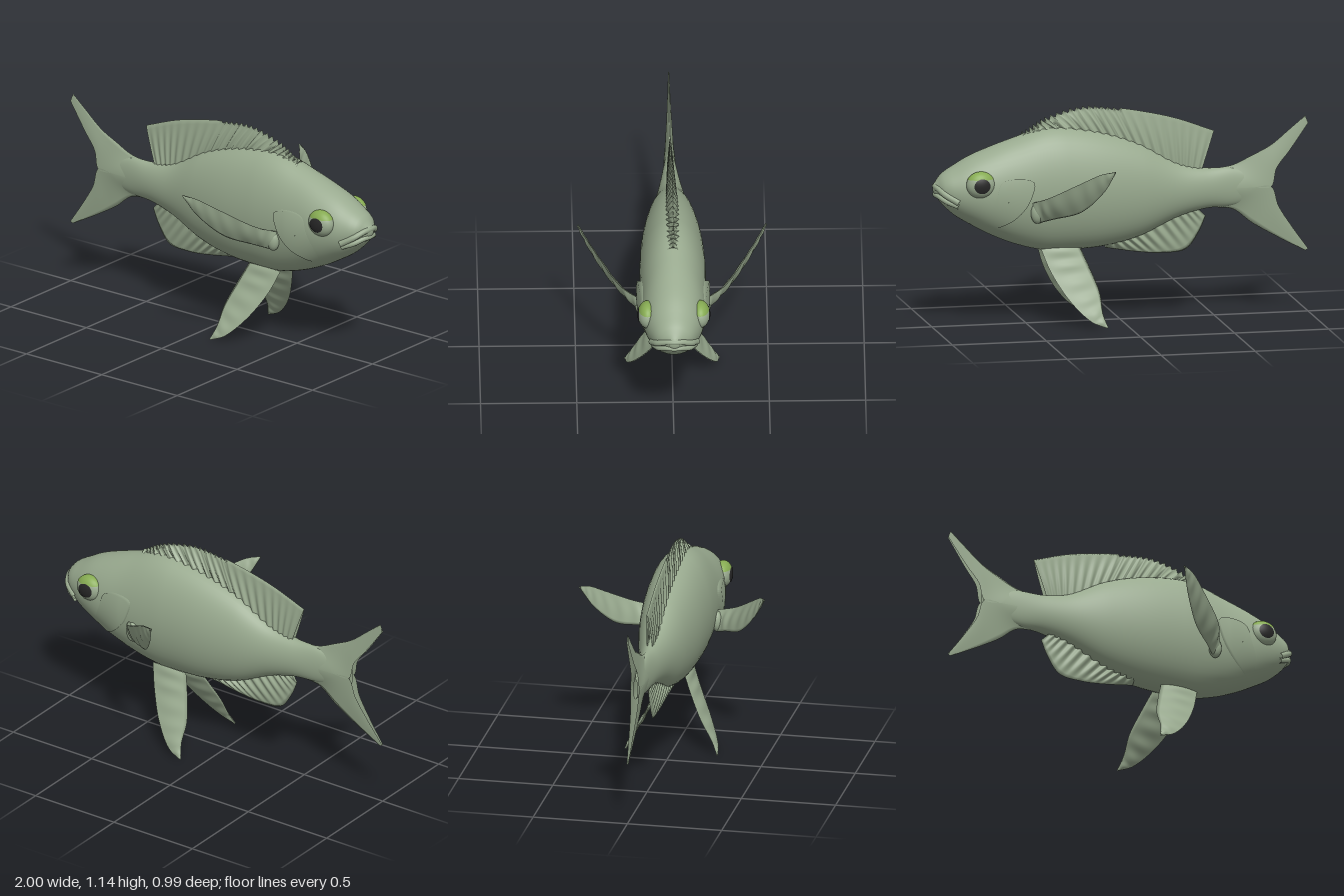
import * as THREE from 'three';
import { ParametricGeometry } from 'three/addons/geometries/ParametricGeometry.js';

const flat = (hex, name) => {
  const m = new THREE.MeshStandardMaterial({ color: hex, side: THREE.DoubleSide });
  m.name = name;
  return m;
};

// body stations: x, belly y, back y, half width
const STATIONS = [
  [-0.8, 0.62, 0.73, 0.012], [-0.6, 0.58, 0.78, 0.035], [-0.45, 0.57, 0.785, 0.058],
  [-0.3, 0.53, 0.82, 0.085], [-0.1, 0.44, 0.93, 0.13], [0.1, 0.395, 1.0, 0.16],
  [0.3, 0.385, 1.035, 0.172], [0.42, 0.39, 1.03, 0.172], [0.57, 0.43, 0.985, 0.168],
  [0.7, 0.485, 0.94, 0.165], [0.8, 0.54, 0.9, 0.15], [0.88, 0.59, 0.855, 0.125],
  [0.95, 0.655, 0.81, 0.085], [0.985, 0.705, 0.765, 0.03],
];

// smooth lookup of one station column at x
function station(x, col) {
  const n = STATIONS.length;
  let i = 0;
  while (i < n - 2 && x > STATIONS[i + 1][0]) i++;
  const slope = (k) => {
    const a = STATIONS[Math.max(k - 1, 0)], b = STATIONS[Math.min(k + 1, n - 1)];
    return (b[col] - a[col]) / (b[0] - a[0]);
  };
  const p = STATIONS[i], q = STATIONS[i + 1], d = q[0] - p[0], t = (x - p[0]) / d;
  const t2 = t * t, t3 = t2 * t;
  return (2 * t3 - 3 * t2 + 1) * p[col] + (t3 - 2 * t2 + t) * d * slope(i)
    + (3 * t2 - 2 * t3) * q[col] + (t3 - t2) * d * slope(i + 1);
}

// half width of the body at a point seen from the side
function flankZ(x, y) {
  const lo = station(x, 1), hi = station(x, 2);
  const s = (2 * y - lo - hi) / (hi - lo);
  return station(x, 3) * Math.sqrt(Math.max(0.02, 1 - s * s));
}

const spline = (pts, closed = false) =>
  new THREE.CatmullRomCurve3(pts.map(([x, y, z = 0]) => new THREE.Vector3(x, y, z)), closed, 'centripetal');

// fin stretched between two edge curves, with raised rays
function finGeometry({ from, to, thick, normal = [0, 0, 1], profile, rays = 10, taper = 0, jag = 0 }) {
  const a = spline(from), b = spline(to), n = new THREE.Vector3(...normal).normalize();
  const p = new THREE.Vector3(), q = new THREE.Vector3();
  return new ParametricGeometry((u, v, out) => {
    const side = v < 0.5 ? 1 : -1, t = v < 0.5 ? 2 * v : 2 - 2 * v;
    a.getPoint(u, p);
    b.getPoint(u, q);
    out.lerpVectors(p, q, t);
    if (jag && u < 0.6) out.y -= jag * t * t * ((u * 30) % 1) * (1 - u);
    const ridge = 1 + 0.3 * Math.sin(u * rays * Math.PI * 2);
    out.addScaledVector(n, side * (0.002 + thick * (1 - taper * u) * profile(t) * ridge));
  }, 150, 20);
}
const medianProfile = (t) => Math.cos(t * Math.PI / 2);
const pairedProfile = (t) => Math.sin(t * Math.PI);

export function createModel() {
  const fish = new THREE.Group();
  fish.name = 'fish';
  const skin = flat(0x99aa8f, 'sage skin');
  const green = flat(0x86ab52, 'green iris');
  const black = flat(0x262626, 'black pupil');
  const add = (parent, name, geometry, material = skin) => {
    const mesh = new THREE.Mesh(geometry, material);
    mesh.name = name;
    parent.add(mesh);
    return mesh;
  };

  // body
  add(fish, 'body', new ParametricGeometry((u, v, out) => {
    const x = -0.8 + 1.785 * u, lo = station(x, 1), hi = station(x, 2), a = -2 * Math.PI * v;
    out.set(x, (lo + hi) / 2 + (hi - lo) / 2 * Math.cos(a), station(x, 3) * Math.sin(a));
  }, 90, 48));
  const snout = add(fish, 'snoutTip', new THREE.SphereGeometry(1, 20, 14));
  snout.scale.set(0.012, 0.031, 0.031);
  snout.position.set(0.983, 0.735, 0);

  // lips
  for (const [name, pts, r] of [
    ['upperLip', [[0.88, 0.675, 0.118], [0.945, 0.715, 0.085], [0.972, 0.74, 0.04], [0.98, 0.745, 0]], 0.017],
    ['lowerLip', [[0.88, 0.655, 0.108], [0.94, 0.68, 0.08], [0.97, 0.7, 0.04], [0.98, 0.703, 0]], 0.015],
  ]) {
    const mirrored = pts.slice(0, -1).reverse().map(([x, y, z]) => [x, y, -z]);
    add(fish, name, new THREE.TubeGeometry(spline([...pts, ...mirrored]), 40, r, 10));
  }

  // fins on the midline
  add(fish, 'dorsalFin', finGeometry({
    from: [[0.52, 0.98], [0.3, 1.0], [0.1, 0.97], [-0.1, 0.9], [-0.3, 0.8], [-0.43, 0.77]],
    to: [[0.52, 1.02], [0.4, 1.09], [0.2, 1.14], [0, 1.12], [-0.28, 1.06], [-0.5, 0.98]],
    thick: 0.032, taper: 0.6, profile: medianProfile, rays: 22, jag: 0.04,
  }));
  add(fish, 'analFin', finGeometry({
    from: [[0.07, 0.42], [0, 0.44], [-0.1, 0.47], [-0.22, 0.53], [-0.32, 0.57], [-0.4, 0.585]],
    to: [[0.08, 0.385], [-0.1, 0.355], [-0.22, 0.345], [-0.35, 0.36], [-0.42, 0.45], [-0.455, 0.53]],
    thick: 0.03, taper: 0.5, profile: medianProfile, rays: 12,
  }));
  add(fish, 'upperTailLobe', finGeometry({
    from: [[-0.5, 0.675], [-0.7, 0.675], [-0.8, 0.675], [-0.83, 0.77], [-0.9, 0.86], [-1, 1.0]],
    to: [[-0.5, 0.78], [-0.6, 0.795], [-0.7, 0.84], [-0.8, 0.89], [-0.9, 0.97], [-0.985, 1.04]],
    thick: 0.035, taper: 0.95, profile: medianProfile, rays: 0,
  }));
  add(fish, 'lowerTailLobe', finGeometry({
    from: [[-0.5, 0.675], [-0.7, 0.675], [-0.8, 0.675], [-0.84, 0.57], [-0.91, 0.46], [-1, 0.335]],
    to: [[-0.5, 0.575], [-0.6, 0.56], [-0.7, 0.485], [-0.8, 0.425], [-0.9, 0.37], [-0.985, 0.325]],
    thick: 0.035, taper: 0.95, profile: medianProfile, rays: 0,
  }));

  // one flank, repeated as a mirror image
  for (const [label, sign] of [['right', 1], ['left', -1]]) {
    const flank = new THREE.Group();
    flank.name = label + 'Flank';
    flank.scale.z = sign;
    fish.add(flank);

    add(flank, 'pectoralFin', finGeometry({
      from: [[0.5, 0.67, 0.17], [0.44, 0.71, 0.27], [0.3, 0.8, 0.385], [0.2, 0.86, 0.455], [0.13, 0.88, 0.49]],
      to: [[0.47, 0.56, 0.165], [0.4, 0.59, 0.23], [0.28, 0.64, 0.33], [0.18, 0.76, 0.43], [0.13, 0.87, 0.488]],
      thick: 0.012, taper: 0.6, normal: [0.6, -0.3, 0.74], profile: pairedProfile, rays: 7,
    }));
    const root = add(flank, 'pectoralRoot', new THREE.SphereGeometry(1, 20, 14));
    root.scale.set(0.035, 0.055, 0.03);
    root.position.set(0.475, 0.615, 0.168);

    add(flank, 'pelvicFin', finGeometry({
      from: [[0.43, 0.4, 0.05], [0.385, 0.28, 0.1], [0.3, 0.14, 0.175], [0.2, 0.04, 0.23], [0.12, 0.005, 0.245]],
      to: [[0.22, 0.4, 0.05], [0.18, 0.3, 0.095], [0.14, 0.18, 0.155], [0.135, 0.08, 0.21], [0.115, 0.01, 0.243]],
      thick: 0.011, taper: 0.6, normal: [0, 0.47, 0.88], profile: pairedProfile, rays: 6,
    }));

    // gill cover: a raised patch that sinks into the cheek
    const rim = spline([[0.495, 0.78], [0.51, 0.7], [0.55, 0.63], [0.62, 0.565], [0.72, 0.525],
      [0.73, 0.6], [0.69, 0.7], [0.66, 0.78], [0.58, 0.8]], true);
    const edge = new THREE.Vector3();
    add(flank, 'gillCover', new ParametricGeometry((u, v, out) => {
      rim.getPoint(v, edge);
      const r = 0.01 + 1.02 * u, k = Math.min(r, 1);
      const x = 0.63 + (edge.x - 0.63) * k, y = 0.68 + (edge.y - 0.68) * k;
      const lift = 0.023 * (1 - THREE.MathUtils.smoothstep(x, 0.55, 0.74));
      out.set(x, y, flankZ(x, y) + (r > 1 ? -0.01 : lift));
    }, 34, 60));

    // eye: skin-coloured ball, green upper cap, black pupil
    const eye = new THREE.Group();
    eye.name = 'eye';
    eye.position.set(0.77, 0.77, 0.137);
    flank.add(eye);
    const ball = [0.076, 0.07, 0.05];
    add(eye, 'eyeball', new THREE.SphereGeometry(1, 32, 20).scale(...ball));
    add(eye, 'iris', new THREE.SphereGeometry(1.02, 32, 10, 0, Math.PI * 2, 0, 1.1).scale(...ball), green);
    add(eye, 'pupil', new THREE.SphereGeometry(1.05, 28, 8, 0, Math.PI * 2, 0, 0.56)
      .rotateX(Math.PI / 2).scale(...ball), black);
  }
  return fish;
}
